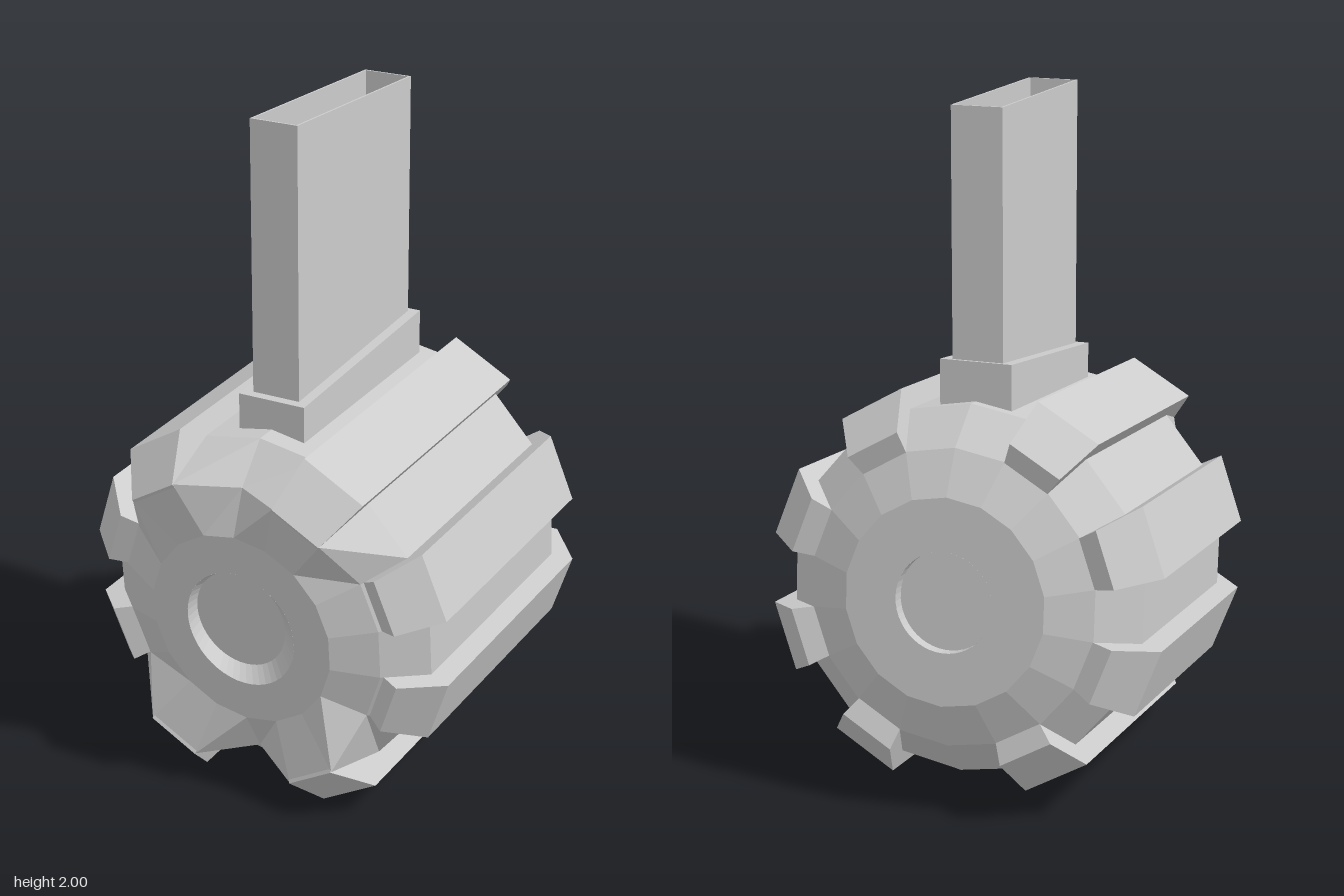
import * as THREE from 'three';

const material = new THREE.MeshStandardMaterial({ color: 0xcccccc, flatShading: true, side: THREE.DoubleSide });
const rad = THREE.MathUtils.degToRad;

// Point on the drum: radius, angle in degrees, position along the axis
const polar = (r, deg, a, dx = 0) =>
  new THREE.Vector3(r * Math.cos(rad(deg)) + dx, r * Math.sin(rad(deg)), a);

const circle = (n, r, a, dx = 0) =>
  Array.from({ length: n }, (_, i) => polar(r, 10 + (i * 360) / n, a, dx));

// Skin a list of closed rings that all have the same number of points
function loft(rings) {
  const pos = [];
  for (let k = 0; k < rings.length - 1; k++) {
    const p = rings[k], q = rings[k + 1], n = p.length;
    for (let i = 0; i < n; i++) {
      const j = (i + 1) % n;
      for (const tri of [[p[i], p[j], q[j]], [p[i], q[j], q[i]]]) {
        const area = new THREE.Triangle(...tri).getArea();
        if (area > 1e-9) tri.forEach(v => pos.push(v.x, v.y, v.z));
      }
    }
  }
  const g = new THREE.BufferGeometry();
  g.setAttribute('position', new THREE.Float32BufferAttribute(pos, 3));
  g.computeVertexNormals();
  return g;
}

function add(parent, name, geometry) {
  const mesh = new THREE.Mesh(geometry, material);
  mesh.name = name;
  parent.add(mesh);
  return mesh;
}

// Flat end disc with a round hole
function endDisc(r, hole, a, front) {
  const shape = new THREE.Shape(circle(18, r, 0).map(v => new THREE.Vector2(v.x, v.y)));
  shape.holes.push(new THREE.Path().absarc(0, 0, hole, 0, Math.PI * 2, true));
  const g = new THREE.ShapeGeometry(shape, 24);
  if (!front) g.rotateY(Math.PI);
  return g.translate(0, 0, a);
}

// Rib covering one facet, swept from a closed (radius, axis) section
function rib(section, deg) {
  const ends = [deg - 10, deg + 10].map(d => section.map(([r, a]) => polar(r, d, a)));
  const mid = ends.map(e => {
    const c = e.reduce((s, v) => s.add(v), new THREE.Vector3()).divideScalar(e.length);
    return e.map(() => c);
  });
  return loft([mid[0], ends[0], ends[1], mid[1]]);
}

export function createModel() {
  const model = new THREE.Group();
  model.name = 'drumMagazine';

  // Drum, tilted so its back sits higher
  const drum = new THREE.Group();
  drum.name = 'drum';
  drum.position.y = 0.603;
  drum.rotation.x = rad(5);
  model.add(drum);

  // Front shoulder rises to meet the long ribs
  const shoulder = circle(18, 0.43, 0.46);
  for (const deg of [50, 70, 110, 130, 230, 250, 290, 310])
    shoulder[(deg - 10) / 20] = polar(0.48, deg, 0.562);

  add(drum, 'drumBody', loft([
    circle(18, 0.3, -0.577),
    circle(18, 0.43, -0.52),
    circle(18, 0.537, -0.408),
    circle(18, 0.537, 0.355),
    shoulder,
    circle(18, 0.3, 0.52),
  ]));

  // End discs and their recesses
  add(drum, 'frontDisc', endDisc(0.3, 0.18, 0.52, true));
  add(drum, 'frontRecess', loft([
    circle(48, 0.18, 0.52), circle(48, 0.15, 0.47, -0.03), circle(48, 0, 0.47, -0.03),
  ]));
  add(drum, 'backDisc', endDisc(0.3, 0.145, -0.577, false));
  add(drum, 'backRecess', loft([
    circle(48, 0, -0.54), circle(48, 0.145, -0.54), circle(48, 0.145, -0.577),
  ]));

  // Ribs: short ones at the sides, long ones above and below
  const back = [[0.6, -0.425], [0.49, -0.54], [0.36, -0.5]];
  const shortRib = [[0.36, 0.42], [0.49, 0.475], [0.6, 0.37], ...back];
  const longRib = [[0.36, 0.5], [0.48, 0.565], [0.6, 0.45], ...back];
  for (const deg of [20, 160, 200, 340]) add(drum, 'sideRib', rib(shortRib, deg));
  for (const deg of [60, 120, 240, 300]) add(drum, 'longRib', rib(longRib, deg));

  // Collar with a sloping top, let into the drum
  const side = new THREE.Shape([[0.34, 1.0], [0.34, 1.2], [-0.323, 1.285], [-0.323, 1.0]]
    .map(([z, y]) => new THREE.Vector2(z, y)));
  add(model, 'collar', new THREE.ExtrudeGeometry(side, { depth: 0.216, bevelEnabled: false })
    .rotateY(-Math.PI / 2).translate(0.108, 0, 0));

  // Hollow feed tower, open at the top
  const rect = (w, d) => [[-w, -d], [w, -d], [w, d], [-w, d]].map(p => new THREE.Vector2(...p));
  const wall = new THREE.Shape(rect(0.076, 0.311));
  wall.holes.push(new THREE.Path(rect(0.07, 0.305).reverse()));
  add(model, 'feedTower', new THREE.ExtrudeGeometry(wall, { depth: 0.95, bevelEnabled: false })
    .rotateX(-Math.PI / 2).translate(0, 1.05, 0.004));

  return model;
}
